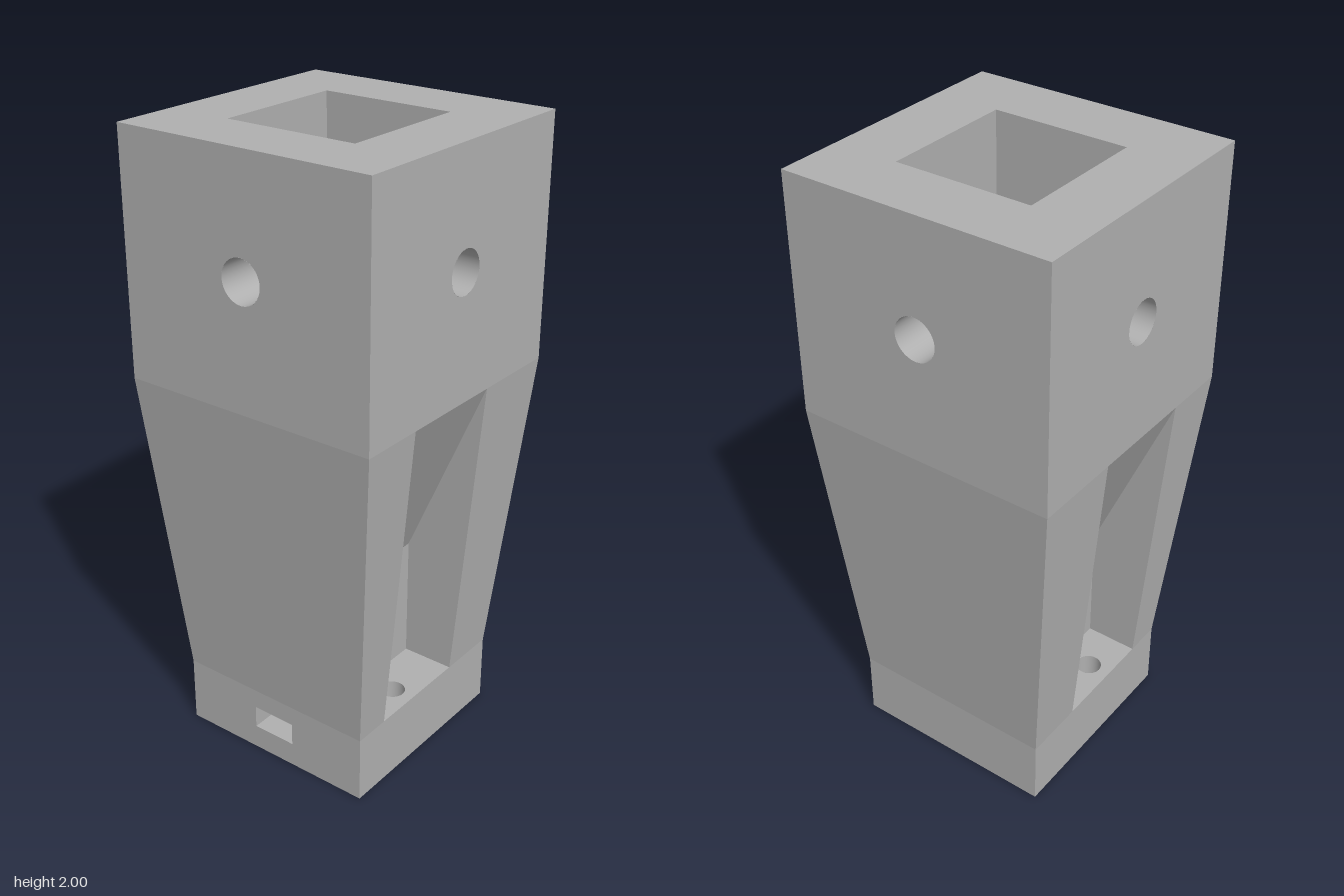
import * as THREE from 'three';

const T = 0.4325, B = 0.3425, C = 0.22;            // half widths: top, base, socket
const Y1 = 0.22, Y2 = 1.24, TOP = 2, FLOOR = 0.85; // heights
const PIN_Y = 1.635, PIN_R = 0.068;                // cross pin holes
const BOLT_X = -0.07, BOLT_Z = 0.265, BOLT_R = 0.041;

const grey = new THREE.MeshStandardMaterial({ color: 0xb0b0b0, side: THREE.DoubleSide });
grey.name = 'grey';

const rect = (x0, y0, x1, y1) => [[x0, y0], [x1, y0], [x1, y1], [x0, y1]];

// Flat panel: outline with polygon [[u,v]...] or circular {x,y,r} holes, placed by a rule
function panel(parent, name, outline, place, holes = []) {
  const shape = new THREE.Shape(outline.map(p => new THREE.Vector2(...p)));
  for (const h of holes) {
    shape.holes.push(Array.isArray(h)
      ? new THREE.Path(h.map(p => new THREE.Vector2(...p)))
      : new THREE.Path().absarc(h.x, h.y, h.r, 0, Math.PI * 2, true));
  }
  const g = new THREE.ShapeGeometry(shape, 32);
  const pos = g.attributes.position;
  for (let i = 0; i < pos.count; i++) pos.setXYZ(i, ...place(pos.getX(i), pos.getY(i)));
  g.computeVertexNormals();
  const m = new THREE.Mesh(g, grey);
  m.name = name;
  parent.add(m);
  return m;
}

// Open smooth bore along y, from y0 to y1
function bore(parent, name, r, x, y0, y1, z) {
  const m = new THREE.Mesh(new THREE.CylinderGeometry(r, r, y1 - y0, 32, 1, true), grey);
  m.position.set(x, (y0 + y1) / 2, z);
  m.name = name;
  parent.add(m);
  return m;
}

export function createModel() {
  const model = new THREE.Group();
  model.name = 'taperedSocketBlock';
  const taper = y => B + (T - B) * (y - Y1) / (Y2 - Y1);
  const slot = rect(-0.075, 0.08, 0.075, 0.155);

  // Four sides: upper wall, socket wall, pin hole, rib and base wall
  for (let i = 0; i < 4; i++) {
    const side = new THREE.Group();
    side.name = 'side' + i;
    side.rotation.y = i * Math.PI / 2;
    model.add(side);
    const pin = { x: 0, y: PIN_Y, r: PIN_R };
    panel(side, 'upperWall', rect(-T, Y2, T, TOP), (u, v) => [u, v, T], [pin]);
    panel(side, 'socketWall', rect(-C, FLOOR, C, TOP), (u, v) => [-u, v, C], [pin]);
    panel(side, 'baseWall', rect(-B, 0, B, Y1), (u, v) => [u, v, B], i === 3 ? [slot] : []);

    const hole = bore(side, 'pinHole', PIN_R, 0, 0, T - C, 0);
    hole.rotation.x = Math.PI / 2;
    hole.position.set(0, PIN_Y, (T + C) / 2);

    const rib = new THREE.Mesh(new THREE.BoxGeometry(0.135, 0.35, 0.11), grey);
    rib.position.set(0, FLOOR + 0.175, C - 0.055);
    rib.name = 'socketRib';
    side.add(rib);

    if (i % 2) {
      panel(side, 'taperedWall', [[-B, Y1], [B, Y1], [T, Y2], [-T, Y2]], (u, v) => [u, v, taper(v)]);
    }
  }

  // Top rim and socket floor
  panel(model, 'topRim', rect(-T, -T, T, T), (u, v) => [u, TOP, -v], [rect(-C, -C, C, C)]);
  panel(model, 'socketFloor', rect(-C, -C, C, C), (u, v) => [u, FLOOR, -v]);

  // Front and back tapered walls, each with a sloping bolt pocket
  const D = 0.17, YS = 0.625;
  for (const s of [1, -1]) {
    const g = new THREE.Group();
    g.name = s > 0 ? 'frontPocket' : 'backPocket';
    if (s < 0) g.rotation.y = Math.PI;
    model.add(g);
    const x0 = s > 0 ? -0.22 : -0.14, x1 = x0 + 0.36;
    const wall = (u, v) => [u, v, taper(v)];
    panel(g, 'taperedWallA', [[-B, Y1], [x0, Y1], [x0, Y2], [-T, Y2]], wall);
    panel(g, 'taperedWallB', [[x1, Y1], [B, Y1], [T, Y2], [x1, Y2]], wall);
    panel(g, 'pocketBack', rect(x0, Y1, x1, YS), (u, v) => [u, v, D]);
    panel(g, 'pocketSlope', rect(x0, YS, x1, Y2),
      (u, v) => [u, v, D + (T - D) * (v - YS) / (Y2 - YS)]);
    const cheek = [[D, Y1], [B, Y1], [T, Y2], [D, YS]];
    panel(g, 'pocketCheekB', cheek, (u, v) => [x1, v, u]);
    panel(g, 'pocketCheekA', cheek.map(([u, v]) => [-u, v]), (u, v) => [x0, v, -u]);
    panel(g, 'pocketLedge', rect(x0, -B, x1, -D), (u, v) => [u, Y1, -v],
      [{ x: s * BOLT_X, y: -BOLT_Z, r: BOLT_R }]);
    bore(g, 'boltHole', BOLT_R, s * BOLT_X, 0, Y1, BOLT_Z);
  }

  // Underside with three bolt holes
  panel(model, 'underside', rect(-B, -B, B, B), (u, v) => [u, 0, v],
    [-BOLT_Z, 0, BOLT_Z].map(z => ({ x: BOLT_X, y: z, r: BOLT_R })));

  // Nut slot in the right side, crossed by the middle bolt hole
  const end = 0.01, mid = [{ x: BOLT_X, y: 0, r: BOLT_R }];
  panel(model, 'slotFloor', rect(-B, -0.075, end, 0.075), (u, v) => [u, 0.08, -v], mid);
  panel(model, 'slotRoof', rect(-B, -0.075, end, 0.075), (u, v) => [u, 0.155, v], mid);
  panel(model, 'slotEnd', slot, (u, v) => [end, v, u]);
  panel(model, 'slotCheekBack', rect(-B, 0.08, end, 0.155), (u, v) => [u, v, -0.075]);
  panel(model, 'slotCheekFront', rect(-end, 0.08, B, 0.155), (u, v) => [-u, v, 0.075]);
  bore(model, 'middleHoleLower', BOLT_R, BOLT_X, 0, 0.08, 0);
  bore(model, 'middleHoleUpper', BOLT_R, BOLT_X, 0.155, 0.35, 0);
  panel(model, 'middleHoleEnd', rect(-0.05, -0.05, 0.05, 0.05), (u, v) => [BOLT_X + u, 0.35, v]);
  return model;
}
